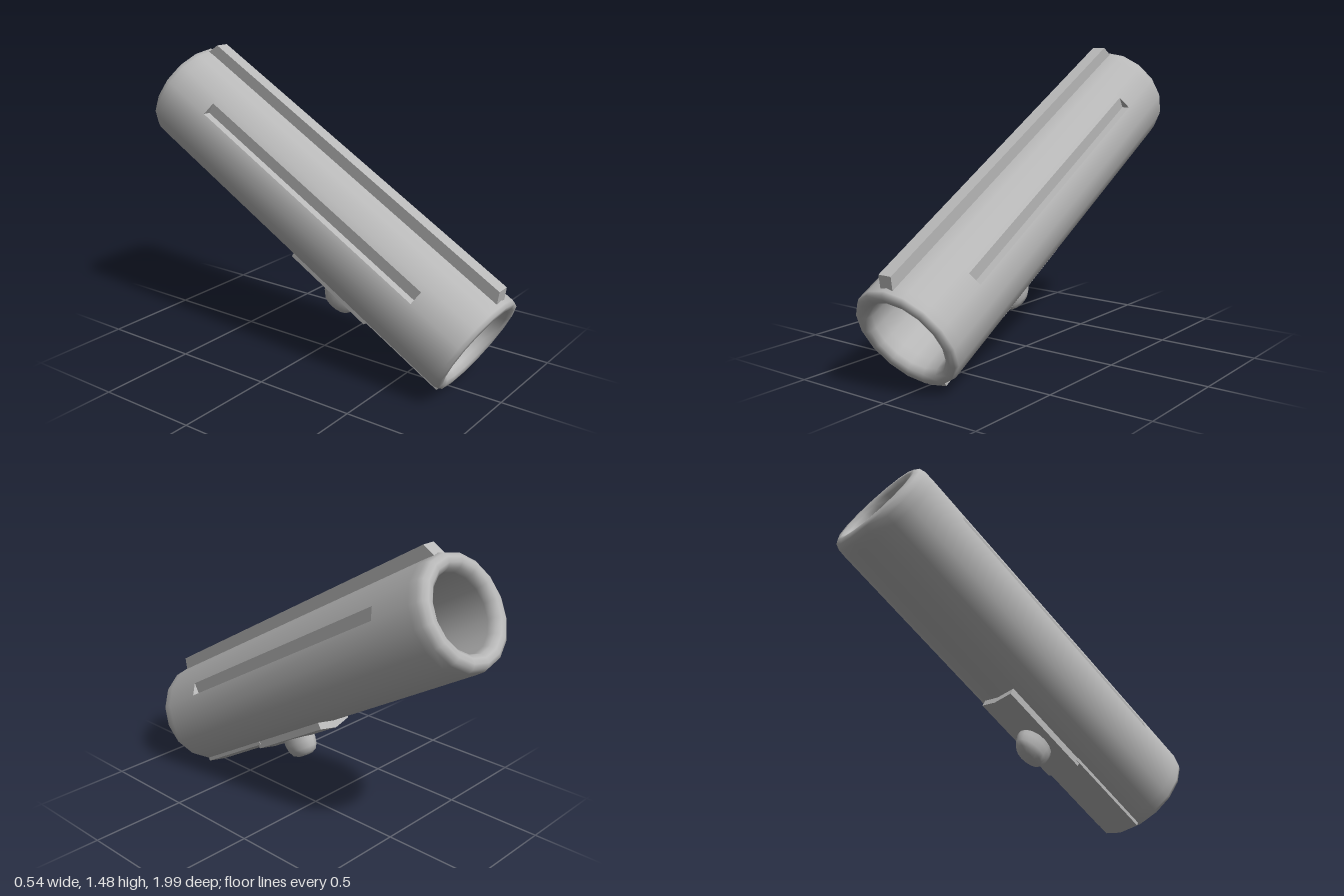
import * as THREE from 'three';

const R = 0.268, SIDES = 16, SLOT = 0.7;
const grey = new THREE.MeshStandardMaterial({ color: 0xb8b8b8 });

function add(parent, name, geometry) {
  const mesh = new THREE.Mesh(geometry, grey);
  mesh.name = name;
  parent.add(mesh);
  return mesh;
}

// Hollow tube with rounded rims; the facets replaced by the side slots are left out
function tubeGeometry() {
  const profile = [
    [0.188, 0], [0.18, -0.95], [0.19, -0.985], [0.21, -1.003], [0.235, -1.005], [0.256, -0.992],
    [0.266, -0.965], [R, -0.92], [R, -SLOT], [R, SLOT], [R, 0.94], [R, 0.985],
    [0.26, 1.003], [0.235, 1.006], [0.21, 0.996], [0.197, 0.97], [0.194, 0.92], [0.188, 0],
  ].map(([r, y]) => new THREE.Vector2(r, y));
  const geo = new THREE.LatheGeometry(profile, SIDES);
  const rows = profile.length - 1, slotRow = 8;
  const kept = [];
  geo.index.array.forEach((v, k) => {
    const face = Math.floor(k / 6), column = Math.floor(face / rows), row = face % rows;
    if (!(row === slotRow && (column === 5 || column === 10))) kept.push(v);
  });
  geo.setIndex(kept);
  return geo.rotateX(Math.PI / 2);
}

// Recessed slot: remaining facet strip, ledge, inner wall and two end caps
function slotGeometry(side) {
  const at = (a) => [R * Math.cos(a), R * Math.sin(a)];
  const A = at(Math.PI / 8), D = at(Math.PI / 4);
  const C = [0, 1].map((k) => A[k] + (D[k] - A[k]) * 0.66);
  const B = [C[0], A[1]];
  const pos = [];
  const tri = (...pts) => (side > 0 ? pts : pts.reverse()).forEach(([p, z]) => pos.push(side * p[0], p[1], z));
  const strip = (p, q) => {
    tri([p, -SLOT], [q, -SLOT], [q, SLOT]);
    tri([p, -SLOT], [q, SLOT], [p, SLOT]);
  };
  strip(C, D);
  strip(A, B);
  strip(B, C);
  tri([A, -SLOT], [C, -SLOT], [B, -SLOT]);
  tri([A, SLOT], [B, SLOT], [C, SLOT]);
  const geo = new THREE.BufferGeometry();
  geo.setAttribute('position', new THREE.Float32BufferAttribute(pos, 3));
  geo.computeVertexNormals();
  // The outer strip shades smoothly with the tube
  for (let i = 0; i < 6; i++) {
    const n = new THREE.Vector3(pos[i * 3], pos[i * 3 + 1], 0).normalize();
    geo.attributes.normal.setXYZ(i, n.x, n.y, 0);
  }
  return geo;
}

// Plate that follows the two lowest facets of the tube
function underPlate(width, drop, from, to) {
  const edge = -0.247, low = -R;
  const shape = new THREE.Shape([
    [-width, edge + 0.02], [-width, edge - drop], [0, low - drop], [width, edge - drop], [width, edge + 0.02],
    [0, low + 0.02],
  ].map(([x, y]) => new THREE.Vector2(x, y)));
  return new THREE.ExtrudeGeometry(shape, { depth: to - from, bevelEnabled: false }).translate(0, 0, from);
}

export function createModel() {
  const model = new THREE.Group();
  model.name = 'tube';
  const body = new THREE.Group();
  body.name = 'tiltedBody';
  body.rotation.x = Math.PI / 6;
  body.position.y = 0.742;
  model.add(body);

  add(body, 'tubeShell', tubeGeometry());
  add(body, 'leftSlot', slotGeometry(1));
  add(body, 'rightSlot', slotGeometry(-1));

  // Top rail with sloped ends
  const rail = new THREE.Shape([
    [-0.972, 0.25], [0.972, 0.25], [0.945, 0.319], [-0.935, 0.319],
  ].map(([z, y]) => new THREE.Vector2(z, y)));
  add(body, 'topRail', new THREE.ExtrudeGeometry(rail, { depth: 0.07, bevelEnabled: false })
    .translate(0, 0, -0.035).rotateY(-Math.PI / 2));

  // Underside strip and switch plate
  add(body, 'frontStrip', underPlate(0.103, 0.018, 0.5, 0.985));
  add(body, 'switchPlate', underPlate(0.1, 0.036, 0.015, 0.52));

  // Rounded oval knob
  const knob = [[0, -0.395], [0.045, -0.393], [0.075, -0.38], [0.092, -0.355], [0.1, -0.32], [0.1, -0.27]]
    .map(([r, y]) => new THREE.Vector2(r, y));
  const knobMesh = add(body, 'knob', new THREE.LatheGeometry(knob, 16));
  knobMesh.scale.x = 0.65;
  knobMesh.position.z = 0.31;
  return model;
}
